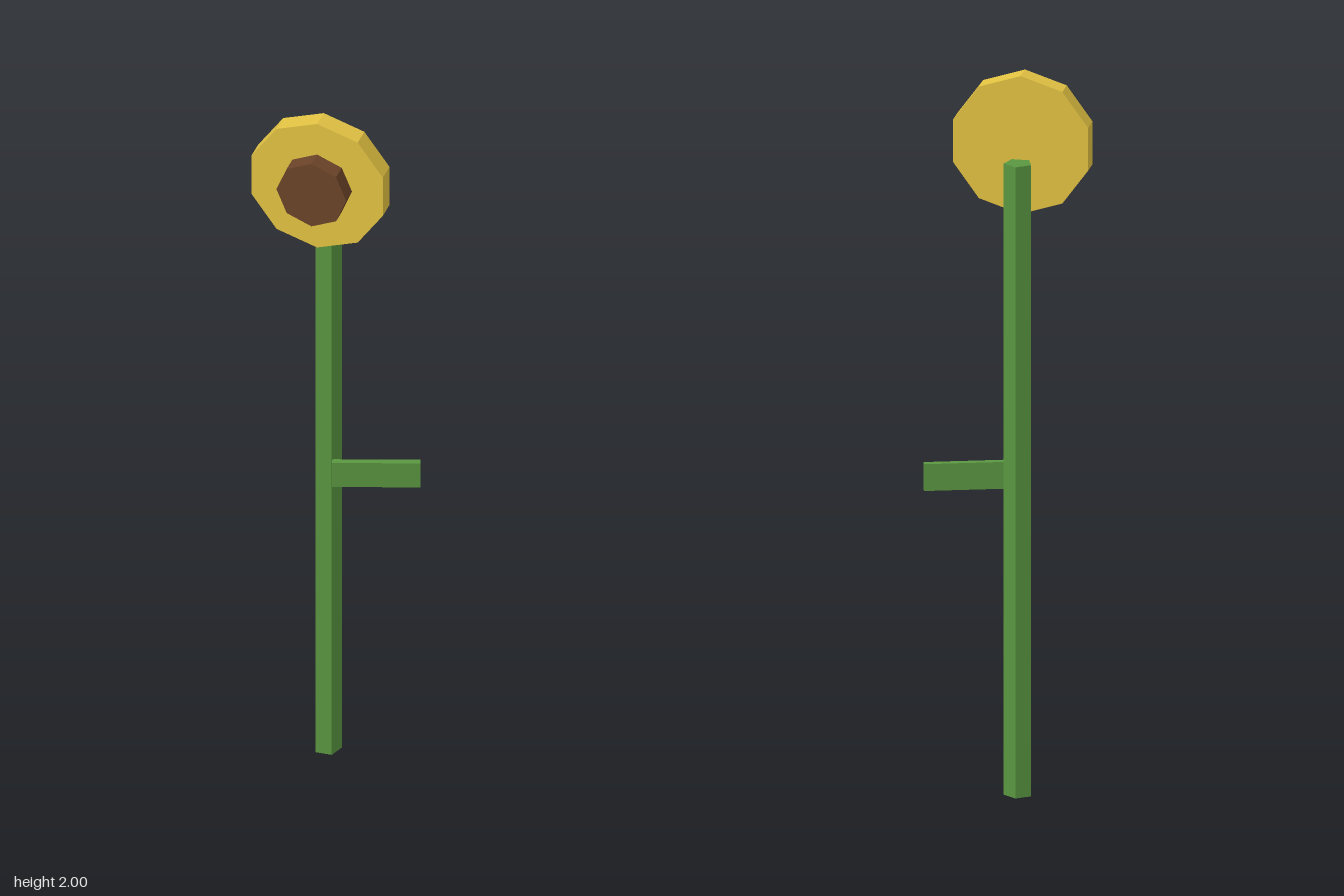
import * as THREE from 'three';

const STEM_X = -0.034, HEAD_Y = 1.807;

export function createModel() {
  const group = new THREE.Group();
  group.name = 'flower';
  const material = (color) => new THREE.MeshStandardMaterial({ color, flatShading: true });
  const green = material(0x5a9640), yellow = material(0xe2c242), brown = material(0x6b4428);

  const add = (name, geometry, mat, x, y, z) => {
    const mesh = new THREE.Mesh(geometry, mat);
    mesh.name = name;
    mesh.position.set(x, y, z);
    group.add(mesh);
    return mesh;
  };

  // Faceted disc facing +z, spanning zBack to zFront
  const disc = (name, radius, sides, zBack, zFront, mat) => {
    const geometry = new THREE.CylinderGeometry(radius, radius, zFront - zBack, sides).rotateX(Math.PI / 2);
    return add(name, geometry, mat, STEM_X, HEAD_Y, (zBack + zFront) / 2);
  };

  // Five-sided stem with a flat side to the front
  const stemHeight = 1.766;
  add('stem', new THREE.CylinderGeometry(0.039, 0.039, stemHeight, 5, 1, false, Math.PI),
    green, STEM_X, stemHeight / 2, -0.047);

  // Single flat leaf swept backwards
  add('leaf', new THREE.BoxGeometry(0.236, 0.075, 0.019), green, 0.103, 0.883, -0.047).rotation.y = 0.3;

  // Flower head
  disc('petals', 0.193, 10, -0.018, 0.04, yellow);
  disc('flowerCentre', 0.0975, 8, 0.04, 0.09, brown);

  return group;
}
